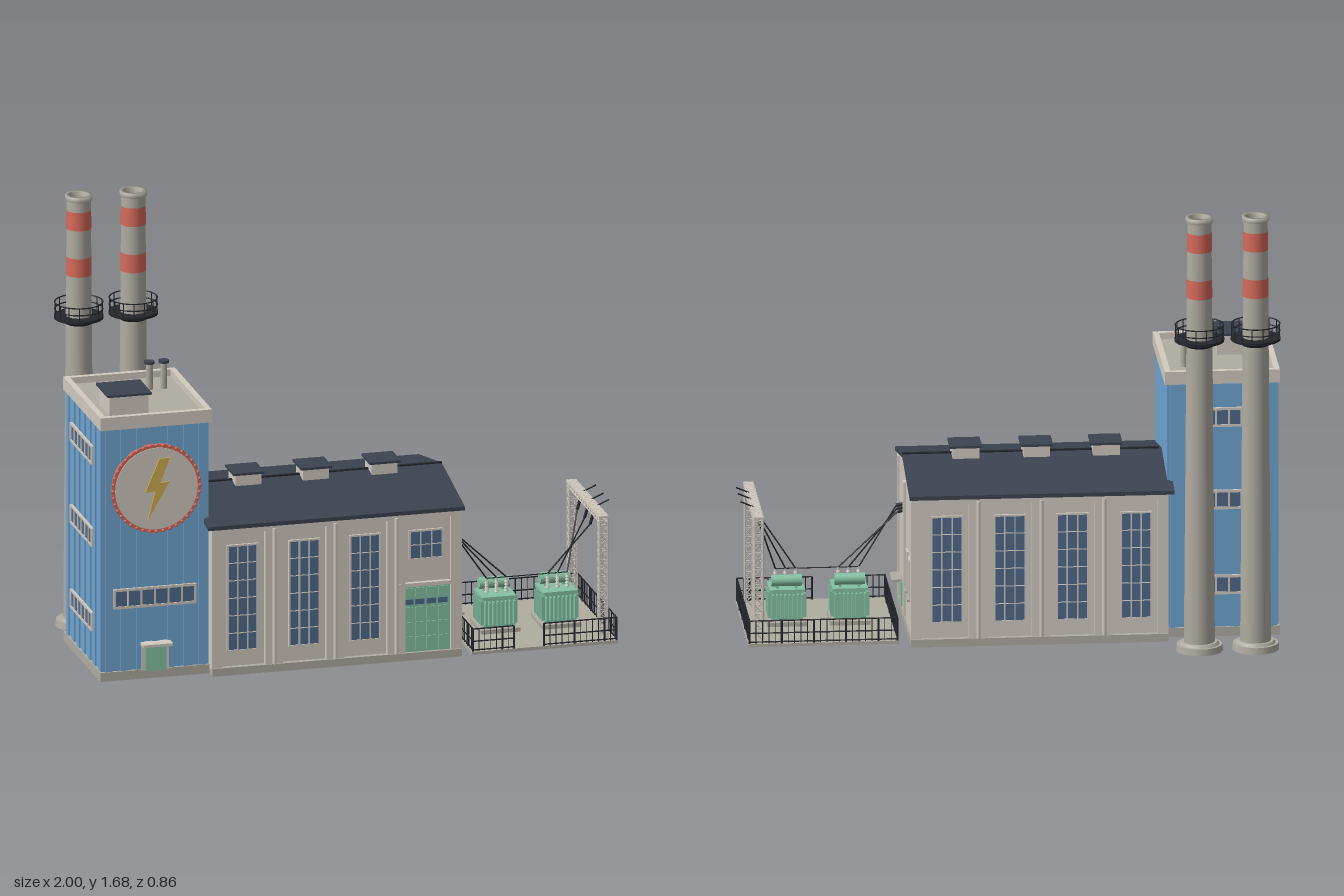
import * as THREE from 'three';
import { mergeGeometries } from 'three/addons/utils/BufferGeometryUtils.js';

const mat = (name, color) => Object.assign(new THREE.MeshStandardMaterial({ color }), { name });

export function createModel() {
  const root = new THREE.Group();
  root.name = 'powerStation';
  const blue = mat('blueCladding', 0x70a5d2), cream = mat('creamWall', 0xd2cbc1), grey = mat('concrete', 0xb0aca2);
  const slate = mat('slateRoof', 0x3c4350), red = mat('red', 0xd66a5b), green = mat('green', 0x86c2a5);
  const glass = mat('glass', 0x506a8c), gold = mat('gold', 0xd2ab50), black = mat('blackMetal', 0x24272d);

  // Geometry helpers
  const add = (name, geo, m, parent = root) => {
    const mesh = new THREE.Mesh(Array.isArray(geo) ? mergeGeometries(geo) : geo, m);
    mesh.name = name;
    parent.add(mesh);
    return mesh;
  };
  const box = (x0, x1, y0, y1, z0, z1) =>
    new THREE.BoxGeometry(x1 - x0, y1 - y0, z1 - z0).translate((x0 + x1) / 2, (y0 + y1) / 2, (z0 + z1) / 2);
  const cyl = (x, z, y0, y1, r0, r1 = r0, n = 24, open = false) =>
    new THREE.CylinderGeometry(r1, r0, y1 - y0, n, 1, open).translate(x, (y0 + y1) / 2, z);
  const rod = (a, b, r = 0.003, n = 5) => {
    const p = new THREE.Vector3(...a), q = new THREE.Vector3(...b), d = q.clone().sub(p), l = d.length();
    const turn = new THREE.Quaternion().setFromUnitVectors(new THREE.Vector3(0, 1, 0), d.normalize());
    const mid = p.add(q).multiplyScalar(0.5);
    return new THREE.CylinderGeometry(r, r, l, n).applyQuaternion(turn).translate(mid.x, mid.y, mid.z);
  };
  // Profile given as [z, y], swept along x
  const sweepX = (pts, x0, x1) => new THREE.ExtrudeGeometry(
    new THREE.Shape(pts.map(([z, y]) => new THREE.Vector2(-z, y))), { depth: x1 - x0, bevelEnabled: false })
    .rotateY(Math.PI / 2).translate(x0, 0, 0);
  // Window with frame and mullions, facing local +z
  const win = (name, w, h, cols, rows, x, y, z, turn = 0, t = 0.005) => {
    const g = new THREE.Group();
    g.name = name;
    add('pane', box(-w / 2, w / 2, -h / 2, h / 2, 0, 0.005), glass, g);
    const bars = [];
    for (let i = 0; i <= cols; i++) {
      const u = -w / 2 + (w * i) / cols, k = i % cols ? t : t * 1.4;
      bars.push(box(u - k / 2, u + k / 2, -h / 2 - t / 2, h / 2 + t / 2, 0, 0.009));
    }
    for (let j = 0; j <= rows; j++) {
      const v = -h / 2 + (h * j) / rows, k = j % rows ? 0.003 : t * 1.4;
      bars.push(box(-w / 2, w / 2, v - k / 2, v + k / 2, 0, 0.008));
    }
    add('frame', bars, cream, g);
    g.position.set(x, y, z);
    g.rotation.y = turn;
    root.add(g);
  };

  // Tower
  add('towerBase', box(-1, -0.57, 0, 0.035, -0.17, 0.36), grey);
  add('towerBody', box(-0.99, -0.58, 0.035, 0.98, -0.16, 0.35), blue);
  const ribs = [];
  for (let i = 0; i < 7; i++) {
    const x = -0.965 + i * 0.06, z = -0.13 + i * 0.0767;
    ribs.push(box(x - 0.014, x + 0.014, 0.035, 0.98, -0.166, 0.356), box(-0.996, -0.98, 0.035, 0.98, z - 0.018, z + 0.018));
  }
  add('towerRibs', ribs, blue);
  add('towerRoof', box(-0.99, -0.58, 0.98, 1.005, -0.16, 0.35), grey);
  add('parapet', [box(-1, -0.57, 0.98, 1.03, 0.34, 0.362), box(-1, -0.57, 0.98, 1.03, -0.172, -0.15),
    box(-1, -0.978, 0.98, 1.03, -0.15, 0.34), box(-0.592, -0.57, 0.98, 1.03, -0.15, 0.34)], cream);
  win('towerFrontWindow', 0.31, 0.068, 6, 1, -0.79, 0.318, 0.356, 0, 0.007);
  for (const y of [0.2, 0.53, 0.85]) {
    win('towerBackWindow', 0.24, 0.065, 5, 1, -0.785, y, -0.166, Math.PI, 0.007);
    win('towerLeftWindow', 0.3, 0.065, 6, 1, -0.996, y, 0.095, -Math.PI / 2, 0.007);
  }
  add('towerDoorFrame', box(-0.84, -0.735, 0.03, 0.135, 0.35, 0.362), cream);
  add('towerDoor', box(-0.828, -0.747, 0.03, 0.125, 0.36, 0.366), green);
  add('towerDoorCanopy', box(-0.845, -0.73, 0.132, 0.142, 0.35, 0.4), cream);
  add('roofHousing', box(-0.94, -0.79, 1, 1.08, 0.12, 0.27), cream);
  add('roofHousingCap', box(-0.95, -0.78, 1.08, 1.088, 0.11, 0.28), slate);
  for (const x of [-0.71, -0.655]) {
    add('roofVentPipe', cyl(x, -0.015, 1, 1.105, 0.013, 0.013, 12), grey);
    add('roofVentCap', cyl(x, -0.015, 1.105, 1.115, 0.02, 0.02, 12), slate);
  }

  // Round sign with lightning bolt
  const disc = (r, z0, z1) => new THREE.CylinderGeometry(r, r, z1 - z0, 48).rotateX(Math.PI / 2).translate(-0.785, 0.74, (z0 + z1) / 2);
  const bulbs = [disc(0.172, 0.35, 0.364)];
  for (let i = 0; i < 40; i++) {
    const a = (i / 40) * Math.PI * 2;
    bulbs.push(new THREE.SphereGeometry(0.007, 6, 4).translate(-0.785 + 0.168 * Math.cos(a), 0.74 + 0.168 * Math.sin(a), 0.364));
  }
  add('signRing', bulbs, red);
  add('signDisc', disc(0.159, 0.355, 0.367), cream);
  const bolt = [[0.01, 0.118], [-0.045, -0.012], [-0.006, -0.008], [-0.035, -0.12], [0.05, 0.028], [0.012, 0.022], [0.05, 0.118]];
  add('signBolt', new THREE.ExtrudeGeometry(new THREE.Shape(bolt.map(p => new THREE.Vector2(...p))),
    { depth: 0.006, bevelEnabled: false }).translate(-0.785, 0.74, 0.367), gold);

  // Chimneys with platforms and flue ducts
  for (const x of [-0.895, -0.685]) {
    const z = -0.34, rad = y => 0.058 - 0.013 * y / 1.66;
    const c = new THREE.Group();
    c.name = 'chimney';
    root.add(c);
    add('chimneyFoot', [cyl(x, z, 0, 0.025, 0.088, 0.085), cyl(x, z, 0.025, 0.035, 0.075, 0.068)], grey, c);
    add('chimneyShaft', cyl(x, z, 0.03, 1.665, 0.058, 0.045, 24, true), grey, c);
    add('chimneyRim', new THREE.LatheGeometry([[0.045, 1.66], [0.051, 1.662], [0.051, 1.68], [0.036, 1.68], [0.036, 1.64]]
      .map(p => new THREE.Vector2(...p)), 24).translate(x, 0, z), grey, c);
    add('chimneyMouth', cyl(x, z, 1.64, 1.645, 0.037), slate, c);
    for (const y of [1.37, 1.55]) add('chimneyBand', cyl(x, z, y, y + 0.072, rad(y) + 0.001, rad(y + 0.072) + 0.001, 24, true), red, c);
    add('chimneyPlatform', [cyl(x, z, 1.2, 1.21, 0.093), cyl(x, z, 1.18, 1.2, 0.05, 0.085)], black, c);
    const rail = [1.235, 1.262].map(y => new THREE.TorusGeometry(0.09, 0.0025, 5, 28).rotateX(Math.PI / 2).translate(x, y, z));
    for (let i = 0; i < 14; i++) {
      const a = (i / 14) * Math.PI * 2;
      rail.push(cyl(x + 0.09 * Math.cos(a), z + 0.09 * Math.sin(a), 1.205, 1.262, 0.002, 0.002, 5));
    }
    add('chimneyRailing', rail, black, c);
    add('flueDuct', [box(x - 0.034, x + 0.034, 0.667, 0.733, -0.3, -0.15), box(x - 0.04, x + 0.04, 0.66, 0.74, -0.288, -0.215)], grey, c);
  }

  // Hall
  add('hallPlinth', box(-0.58, 0.382, 0, 0.03, -0.226, 0.406), grey);
  add('hallBody', sweepX([[0.385, 0.02], [0.385, 0.578], [0.09, 0.645], [-0.205, 0.578], [-0.205, 0.02]], -0.58, 0.375), cream);
  add('hallRoof', sweepX([[0.422, 0.575], [0.422, 0.59], [0.09, 0.66], [-0.242, 0.59], [-0.242, 0.575], [0.09, 0.645]], -0.6, 0.388), slate);
  add('roofRidge', box(-0.57, 0.388, 0.655, 0.664, 0.084, 0.096), black);
  for (const x of [-0.37, -0.11, 0.155]) {
    add('roofVent', box(x - 0.05, x + 0.05, 0.63, 0.692, 0.04, 0.14), cream);
    add('roofVentLid', box(x - 0.06, x + 0.06, 0.692, 0.701, 0.03, 0.15), slate);
  }
  for (const [za, zb, zp] of [[0.38, 0.4, 0.403], [-0.22, -0.2, -0.223]]) {
    const piers = [box(-0.58, 0.38, 0.55, 0.58, za, zb)];
    for (const x of [-0.34, -0.105, 0.13]) piers.push(box(x - 0.035, x + 0.035, 0.03, 0.55, za, zb), cyl(x, zp, 0.03, 0.56, 0.008, 0.008, 8));
    piers.push(box(-0.58, -0.54, 0.03, 0.55, za, zb), box(0.34, 0.38, 0.03, 0.55, za, zb));
    add('hallPiers', piers, cream);
  }
  [-0.46, -0.222, 0.012, 0.247].forEach((x, i) => {
    if (i < 3) win('hallFrontWindow', 0.115, 0.41, 3, 6, x, 0.295, 0.385);
    win('hallBackWindow', 0.115, 0.41, 3, 6, x, 0.295, -0.205, Math.PI);
  });
  win('hallUpperWindow', 0.125, 0.11, 3, 2, 0.247, 0.445, 0.385);

  // Garage door
  add('garageDoorSurround', box(0.14, 0.345, 0.285, 0.3, 0.38, 0.402), cream);
  add('garageDoor', box(0.15, 0.338, 0.03, 0.287, 0.38, 0.394), green);
  const slats = [], panes = [];
  for (let i = 0; i < 4; i++) {
    const x = 0.16 + i * 0.044;
    panes.push(box(x, x + 0.036, 0.215, 0.235, 0.392, 0.397));
    for (const y of [0.04, 0.097, 0.154, 0.245]) slats.push(box(x, x + 0.036, y, y + (y > 0.2 ? 0.034 : 0.05), 0.392, 0.398));
  }
  add('garageDoorPanels', slats, green);
  add('garageDoorPanes', panes, glass);

  // Right gable
  add('gablePiers', [box(0.37, 0.382, 0.03, 0.57, 0.365, 0.4), box(0.37, 0.382, 0.03, 0.57, -0.22, -0.185),
    box(0.37, 0.385, 0.03, 0.55, 0.083, 0.117)], cream);
  for (const z of [-0.005, -0.115]) {
    win('gableWindow', 0.055, 0.145, 2, 2, 0.375, 0.238, z, Math.PI / 2);
    add('gableSill', box(0.37, 0.39, 0.155, 0.163, z - 0.035, z + 0.035), grey);
  }
  add('gableDoor', box(0.37, 0.382, 0.03, 0.12, 0.22, 0.29), green);
  add('gableDoorCanopy', box(0.37, 0.418, 0.13, 0.138, 0.2, 0.305), grey);

  // Substation yard and fence
  add('yardSlab', box(0.422, 0.985, 0, 0.012, -0.17, 0.4), grey);
  const fence = [];
  const run = (x0, z0, x1, z1) => {
    const n = Math.round(Math.hypot(x1 - x0, z1 - z0) / 0.024);
    for (const y of [0.018, 0.052, 0.1]) fence.push(rod([x0, y, z0], [x1, y, z1], 0.0028));
    for (let i = 0; i <= n; i++) {
      const t = i / n, x = x0 + (x1 - x0) * t, z = z0 + (z1 - z0) * t, r = i % 5 && i < n ? 0.0016 : 0.004;
      fence.push(cyl(x, z, 0.01, 0.1, r, r, 5));
    }
  };
  run(0.427, 0.395, 0.585, 0.395);
  run(0.7, 0.395, 0.98, 0.395);
  run(0.98, 0.395, 0.98, -0.165);
  run(0.98, -0.165, 0.427, -0.165);
  run(0.427, -0.165, 0.427, 0.395);
  add('yardFence', fence, black);

  // Transformers
  for (const x of [0.585, 0.82]) {
    const t = new THREE.Group();
    t.name = 'transformer';
    root.add(t);
    add('transformerPad', box(x - 0.075, x + 0.075, 0.01, 0.028, 0.045, 0.205), grey, t);
    const parts = [box(x - 0.058, x + 0.058, 0.028, 0.14, 0.07, 0.18), box(x - 0.066, x + 0.066, 0.14, 0.15, 0.062, 0.188)];
    for (let i = 0; i < 8; i++) {
      const u = x - 0.055 + i * 0.0157, w = 0.075 + i * 0.0143;
      parts.push(box(u - 0.003, u + 0.003, 0.04, 0.132, 0.05, 0.2));
      if (i < 8) parts.push(box(x - 0.072, x + 0.072, 0.04, 0.132, w - 0.003, w + 0.003));
    }
    for (const u of [x - 0.035, x + 0.035]) parts.push(box(u - 0.005, u + 0.005, 0.145, 0.17, 0.085, 0.105));
    add('transformerTank', parts, green, t);
    add('conservator', rod([x - 0.057, 0.178, 0.095], [x + 0.057, 0.178, 0.095], 0.022, 18), green, t);
    const bushings = [];
    for (const u of [-0.038, 0, 0.038]) {
      bushings.push(cyl(x + u, 0.142, 0.15, 0.21, 0.004, 0.004, 8));
      for (let k = 0; k < 4; k++) bushings.push(cyl(x + u, 0.142, 0.156 + k * 0.012, 0.163 + k * 0.012, 0.009, 0.006, 8));
    }
    add('bushings', bushings, cream, t);
  }

  // Lattice gantry
  const g = [], X = [0.926, 0.956];
  const lattice = (at, length, steps) => {
    for (let s = 0; s < 4; s++) g.push(rod(at(0, s), at(length, s), 0.0035, 4));
    for (let i = 0; i < steps; i++) for (let s = 0; s < 4; s++) {
      const a = (length * i) / steps, b = (length * (i + 1)) / steps;
      g.push(rod(at(a, (s + i) % 4), at(b, (s + 1 + i) % 4), 0.002, 4), rod(at(b, s), at(b, (s + 1) % 4), 0.002, 4));
    }
  };
  const du = s => (s === 1 || s === 2 ? 1 : 0), dv = s => (s > 1 ? 1 : 0);
  for (const z of [0.325, -0.11]) lattice((t, s) => [X[du(s)], 0.01 + t, z + 0.03 * dv(s)], 0.475, 14);
  lattice((t, s) => [X[du(s)], 0.462 + 0.023 * dv(s), -0.11 + t], 0.465, 14);
  g.push(box(0.922, 0.96, 0.478, 0.486, -0.112, 0.357));
  add('gantry', g, cream);

  // Insulators and wires
  const wires = [], insulators = [];
  [0.22, 0.14, 0.035].forEach((z, i) => {
    const u = (i - 1) * 0.038, zb = 0.142;
    wires.push(rod([0.94, 0.48, z], [0.998, 0.505, z]), rod([0.925, 0.415, z], [0.82 + u, 0.21, zb]));
    insulators.push(rod([0.94, 0.465, z], [0.925, 0.415, z], 0.006, 8));
    const zg = [0.225, 0.185, 0.145][i];
    insulators.push(rod([0.375, 0.425, zg], [0.4, 0.42, zg], 0.007, 8));
    wires.push(rod([0.4, 0.42, zg], [0.585 + u, 0.21, zb]));
  });
  wires.push(rod([0.545, 0.21, 0.142], [0.86, 0.21, 0.142], 0.0022));
  add('insulators', insulators, black);
  add('wires', wires, black);
  return root;
}
